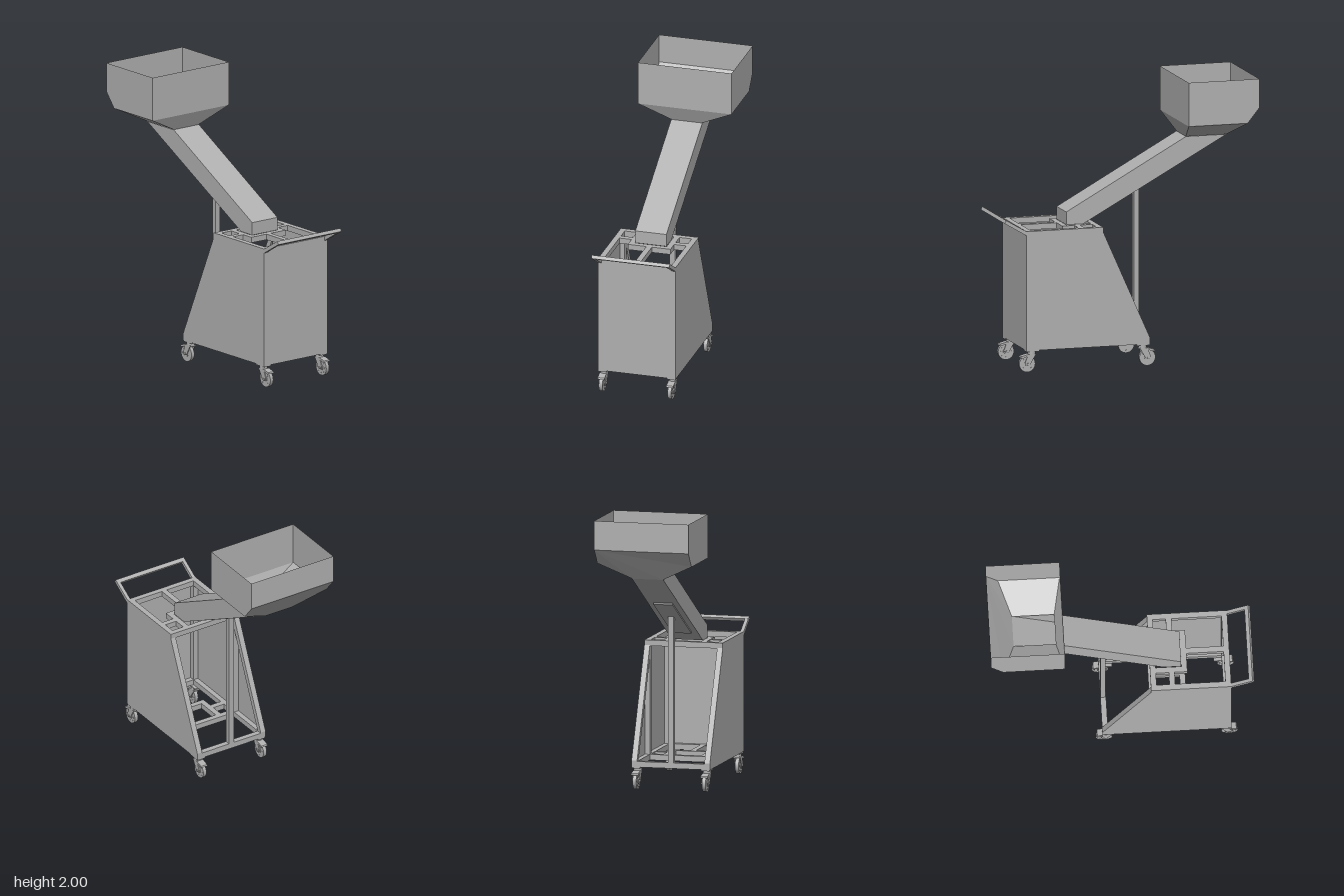
import * as THREE from 'three';

const metal = new THREE.MeshStandardMaterial({ color: 0xb0b0b0 });
metal.name = 'greyMetal';
const sheet = metal.clone(); // same grey, for open thin sheet metal
sheet.name = 'greySheet';
sheet.side = THREE.DoubleSide;

function add(parent, name, geometry, material = metal) {
  const mesh = new THREE.Mesh(geometry, material);
  mesh.name = name;
  parent.add(mesh);
  return mesh;
}

// Box given by its lower and upper limits on each axis
function bar(parent, name, x0, x1, y0, y1, z0, z1) {
  const mesh = add(parent, name, new THREE.BoxGeometry(x1 - x0, y1 - y0, z1 - z0));
  mesh.position.set((x0 + x1) / 2, (y0 + y1) / 2, (z0 + z1) / 2);
  return mesh;
}

// Outline in the x-y plane, extruded from z0 to z1
function slab(parent, name, points, z0, z1) {
  const shape = new THREE.Shape(points.map(([x, y]) => new THREE.Vector2(x, y)));
  const geometry = new THREE.ExtrudeGeometry(shape, { depth: z1 - z0, bevelEnabled: false });
  return add(parent, name, geometry.translate(0, 0, z0));
}

// Flat convex faces, each a list of corners
function sheets(parent, name, faces) {
  const position = [];
  for (const f of faces) {
    for (let i = 1; i < f.length - 1; i++) position.push(...f[0], ...f[i], ...f[i + 1]);
  }
  const geometry = new THREE.BufferGeometry();
  geometry.setAttribute('position', new THREE.Float32BufferAttribute(position, 3));
  geometry.computeVertexNormals();
  return add(parent, name, geometry, sheet);
}

const W = 0.283, T = 0.04; // half width of the cart, tube size
const X0 = -0.145, XM = 0.195, X1 = 0.755, Y0 = 0.155, Y1 = 1.0;

function hopper() {
  const g = new THREE.Group();
  g.name = 'hopper';
  const L = -0.925, R = -0.41, H = 0.34, h = 0.11;
  const faces = [
    [[R, 2, H], [R, 1.69, H], [R, 1.69, -H], [R, 2, -H]],
    [[L, 2, -H], [L, 1.795, -H], [L, 1.795, H], [L, 2, H]],
    [[R, 1.69, H], [-0.46, 1.577, h], [-0.46, 1.577, -h], [R, 1.69, -H]],
    [[L, 1.795, -H], [-0.84, 1.69, -H], [-0.755, 1.577, -h], [-0.755, 1.577, h], [-0.84, 1.69, H], [L, 1.795, H]],
  ];
  for (const s of [1, -1]) {
    const wall = [[L, 2, s * H], [L, 1.795, s * H], [-0.84, 1.69, s * H], [R, 1.69, s * H], [R, 2, s * H]];
    const slope = [[-0.84, 1.69, s * H], [-0.755, 1.577, s * h], [-0.46, 1.577, s * h], [R, 1.69, s * H]];
    faces.push(s > 0 ? wall : wall.reverse(), s > 0 ? slope : slope.reverse());
  }
  sheets(g, 'hopperWalls', faces);
  return g;
}

function chute() {
  const g = new THREE.Group();
  g.name = 'chute';
  const h = 0.113;
  const outline = [[-0.755, 1.577], [0.29, 1], [0.413, 1], [0.413, 1.09], [-0.46, 1.577]];
  const faces = [outline.map(([x, y]) => [x, y, h]), outline.map(([x, y]) => [x, y, -h]).reverse()];
  // Floor, end and roof; the inlet and outlet stay open
  for (const i of [0, 2, 3]) {
    const [a, b] = [outline[i], outline[i + 1]];
    faces.push([[...a, h], [...a, -h], [...b, -h], [...b, h]]);
  }
  sheets(g, 'chuteWalls', faces);
  slab(g, 'chuteSupportPlate', [[-0.35, 1.353], [-0.345, 1.338], [0.15, 1.065], [0.15, 1.078]], -0.07, 0.07);
  bar(g, 'chutePost', X0, X0 + 0.037, Y0, 1.225, -T / 2, T / 2);
  return g;
}

function cart() {
  const g = new THREE.Group();
  g.name = 'cart';
  for (const s of [1, -1]) {
    const span = (a, b) => (s > 0 ? [a, b] : [-b, -a]);
    const rail = span(W - T, W - 0.004);
    slab(g, 'sidePanel', [[X0, Y0], [X1, Y0], [X1, Y1], [XM, Y1], [XM, 0.965], [X0, 0.2]], ...span(W - 0.004, W));
    slab(g, 'slopedRail', [[X0, Y0 + T], [X0 + T, Y0 + T], [XM + T, 0.96], [XM, 0.965], [X0, 0.2]], ...rail);
    bar(g, 'topRail', XM, X1, Y1 - T, Y1, ...rail);
    bar(g, 'bottomRail', X0, X1, Y0, Y0 + T, ...rail);
    bar(g, 'rearPost', X1 - T, X1, Y0, Y1, ...rail);
    bar(g, 'middlePost', XM, XM + T, Y0, Y1, ...rail);
  }
  bar(g, 'endPanel', X1 - 0.004, X1, Y0, Y1, -W, W);
  bar(g, 'footCrossbar', X0, X0 + T, Y0, Y0 + T, -W, W);
  // Top and bottom decks share the same cross members and central ring
  for (const y of [Y0, Y1 - T]) {
    const top = y + T;
    bar(g, 'middleCrossbar', XM, XM + T, y, top, -W, W);
    bar(g, 'endCrossbar', X1 - T, X1, y, top, -W, W);
    bar(g, 'ringEnd', 0.415, 0.455, y, top, -0.155, 0.155);
    bar(g, 'deckSpine', 0.455, X1 - T, y, top, -0.02, 0.02);
    for (const s of [1, -1]) {
      bar(g, 'ringSide', XM + T, 0.415, y, top, s * 0.135 - 0.02, s * 0.135 + 0.02);
      bar(g, 'ringTie', 0.325, 0.365, y, top, s * 0.2 - 0.045, s * 0.2 + 0.045);
    }
  }
  return g;
}

function handle() {
  const g = new THREE.Group();
  g.name = 'handle';
  for (const s of [1, -1]) {
    const z = s * 0.27;
    slab(g, 'handleArm', [[0.755, 0.97], [0.915, 1.065], [0.902, 1.086], [0.755, 1.0]], z - 0.0125, z + 0.0125);
  }
  slab(g, 'handleGrip', [[0.889, 1.05], [0.915, 1.065], [0.902, 1.086], [0.876, 1.071]], -0.2825, 0.2825);
  return g;
}

// Swivel caster, its wheel trailing toward +x
function caster() {
  const g = new THREE.Group();
  g.name = 'caster';
  bar(g, 'mountPlate', -0.05, 0.045, 0.146, 0.155, -0.03, 0.03);
  add(g, 'swivel', new THREE.CylinderGeometry(0.028, 0.028, 0.02, 20)).position.y = 0.136;
  bar(g, 'forkCrown', -0.026, 0.03, 0.118, 0.127, -0.025, 0.025);
  const disc = (name, r, w, x = 0.033, y = 0.058) => {
    const geometry = new THREE.CylinderGeometry(r, r, w, 28).rotateX(Math.PI / 2);
    add(g, name, geometry).position.set(x, y, 0);
  };
  disc('wheel', 0.058, 0.026);
  disc('wheelHub', 0.022, 0.034);
  disc('axle', 0.008, 0.062);
  for (let i = 0; i < 8; i++) {
    const a = (i * Math.PI) / 4;
    disc('rimStud', 0.004, 0.03, 0.033 + 0.04 * Math.cos(a), 0.058 + 0.04 * Math.sin(a));
  }
  for (const s of [1, -1]) {
    const z = s * 0.022;
    slab(g, 'forkLeg', [[-0.026, 0.127], [0.018, 0.05], [0.045, 0.045], [0.052, 0.07], [0.03, 0.127]], z - 0.003, z + 0.003);
  }
  // Brake lever over the wheel
  slab(g, 'brakePedal', [[0.02, 0.118], [0.07, 0.1], [0.085, 0.104], [0.08, 0.114], [0.03, 0.128]], -0.025, 0.025);
  return g;
}

export function createModel() {
  const model = new THREE.Group();
  model.name = 'hopperCart';
  model.add(hopper(), chute(), cart(), handle());
  for (const z of [0.25, -0.25]) {
    for (const [x, turn] of [[0.71, 0], [-0.1, Math.PI]]) {
      const c = caster();
      c.position.set(x, 0, z);
      c.rotation.y = turn;
      model.add(c);
    }
  }
  return model;
}
